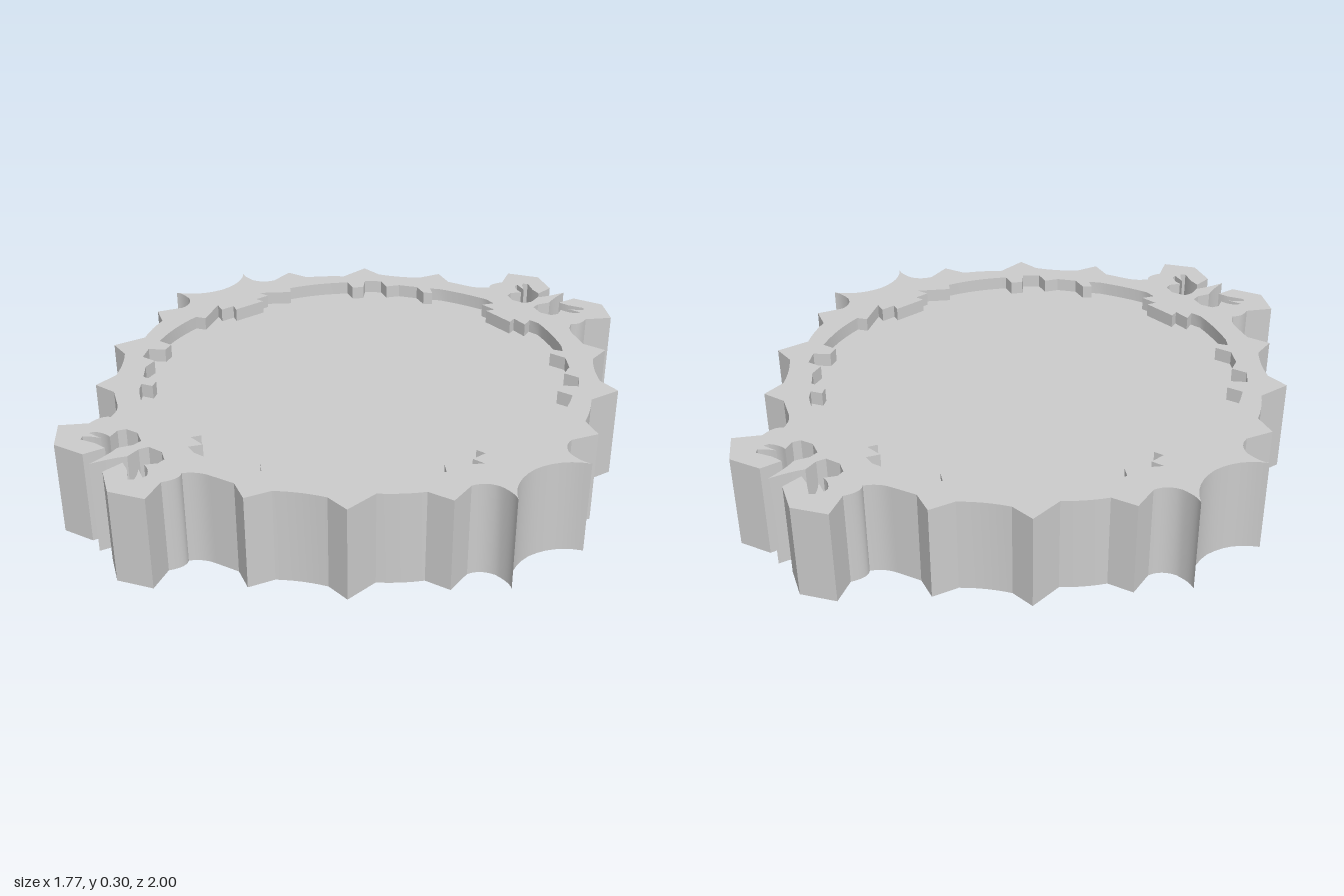
import * as THREE from 'three';
import { toCreasedNormals } from 'three/addons/utils/BufferGeometryUtils.js';

const HEIGHT = 0.3;   // top of the rim
const FLOOR = 0.255;  // recessed panel inside the rim

// Quarter outlines from the +z axis round to the +x axis.
// A point with four numbers is a curve: control x, control z, end x, end z.
const OUTER = [
  [0, 0.97], [0.012, 0.9, 0.03, 0.865], [0.016, 0.82], [0.022, 0.79],
  // claw-shaped opening
  [0.07, 0.775], [0.11, 0.79], [0.118, 0.815], [0.1, 0.85],
  [0.13, 0.85, 0.155, 0.872], [0.158, 0.888], [0.11, 0.874],
  [0.135, 0.89, 0.152, 0.912], [0.14, 0.925], [0.09, 0.9], [0.052, 0.892],
  // horned head
  [0.06, 0.96], [0.16, 1], [0.257, 0.938], [0.21, 0.86],
  [0.23, 0.81, 0.205, 0.79], [0.225, 0.75, 0.265, 0.735],
  // teeth along the side
  [0.34, 0.705], [0.418, 0.727], [0.437, 0.645], [0.49, 0.585, 0.557, 0.546],
  [0.637, 0.541], [0.625, 0.43], [0.675, 0.375, 0.705, 0.315],
  [0.783, 0.287], [0.757, 0.2], [0.765, 0.155, 0.81, 0.139],
  // curved side wing
  [0.86, 0.132, 0.885, 0.147], [0.81, 0.095, 0.805, 0],
];
const INNER = [
  [0, 0.635], [0.06, 0.635], [0.05, 0.665], [0.108, 0.66], [0.092, 0.7],
  [0.13, 0.705], [0.22, 0.68, 0.305, 0.635], [0.335, 0.61], [0.3, 0.59],
  [0.32, 0.565], [0.375, 0.58], [0.43, 0.54], [0.45, 0.495], [0.5, 0.51],
  [0.54, 0.465], [0.5, 0.425], [0.52, 0.39], [0.57, 0.405],
  [0.635, 0.31, 0.66, 0.205], [0.63, 0.185], [0.695, 0.09], [0.655, 0.1],
  [0.655, 0.05], [0.625, 0.058], [0.625, 0],
];

// Samples the quarter and mirrors it into a closed clockwise loop.
function makeLoop(rows) {
  const q = [];
  for (const r of rows) {
    if (r.length === 2) q.push(new THREE.Vector2(r[0], r[1]));
    else {
      const c = new THREE.QuadraticBezierCurve(q[q.length - 1].clone(),
        new THREE.Vector2(r[0], r[1]), new THREE.Vector2(r[2], r[3]));
      q.push(...c.getPoints(6).slice(1));
    }
  }
  const flip = (p, sx, sy) => new THREE.Vector2(p.x * sx, p.y * sy);
  const half = [...q, ...q.slice(0, -1).reverse().map((p) => flip(p, 1, -1))];
  return [...half, ...half.slice(1, -1).reverse().map((p) => flip(p, -1, 1))];
}

// Vertical wall along a loop; a clockwise loop faces outward.
function wall(loop, low, high) {
  const pos = [];
  loop.forEach((a, i) => {
    const b = loop[(i + 1) % loop.length];
    pos.push(a.x, low, -a.y, a.x, high, -a.y, b.x, high, -b.y);
    pos.push(a.x, low, -a.y, b.x, high, -b.y, b.x, low, -b.y);
  });
  const g = new THREE.BufferGeometry();
  g.setAttribute('position', new THREE.Float32BufferAttribute(pos, 3));
  g.computeVertexNormals();
  return toCreasedNormals(g, 0.45);
}

// Flat horizontal sheet at height y.
function sheet(loop, y, hole) {
  const shape = new THREE.Shape(loop);
  if (hole) shape.holes.push(new THREE.Path(hole));
  return new THREE.ShapeGeometry(shape).rotateX(-Math.PI / 2).translate(0, y, 0);
}

export function createModel() {
  const group = new THREE.Group();
  group.name = 'ornateFrame';
  const material = new THREE.MeshStandardMaterial({ color: 0xcccccc, side: THREE.DoubleSide });
  const add = (name, geometry) => {
    const mesh = new THREE.Mesh(geometry, material);
    mesh.name = name;
    group.add(mesh);
  };
  const outer = makeLoop(OUTER);
  const inner = makeLoop(INNER);

  // Thin shell, open underneath
  add('outerWall', wall(outer, 0, HEIGHT));
  add('topRim', sheet(outer, HEIGHT, inner));
  add('rimStep', wall([...inner].reverse(), FLOOR, HEIGHT));
  add('recessedPanel', sheet(inner, FLOOR));
  return group;
}
